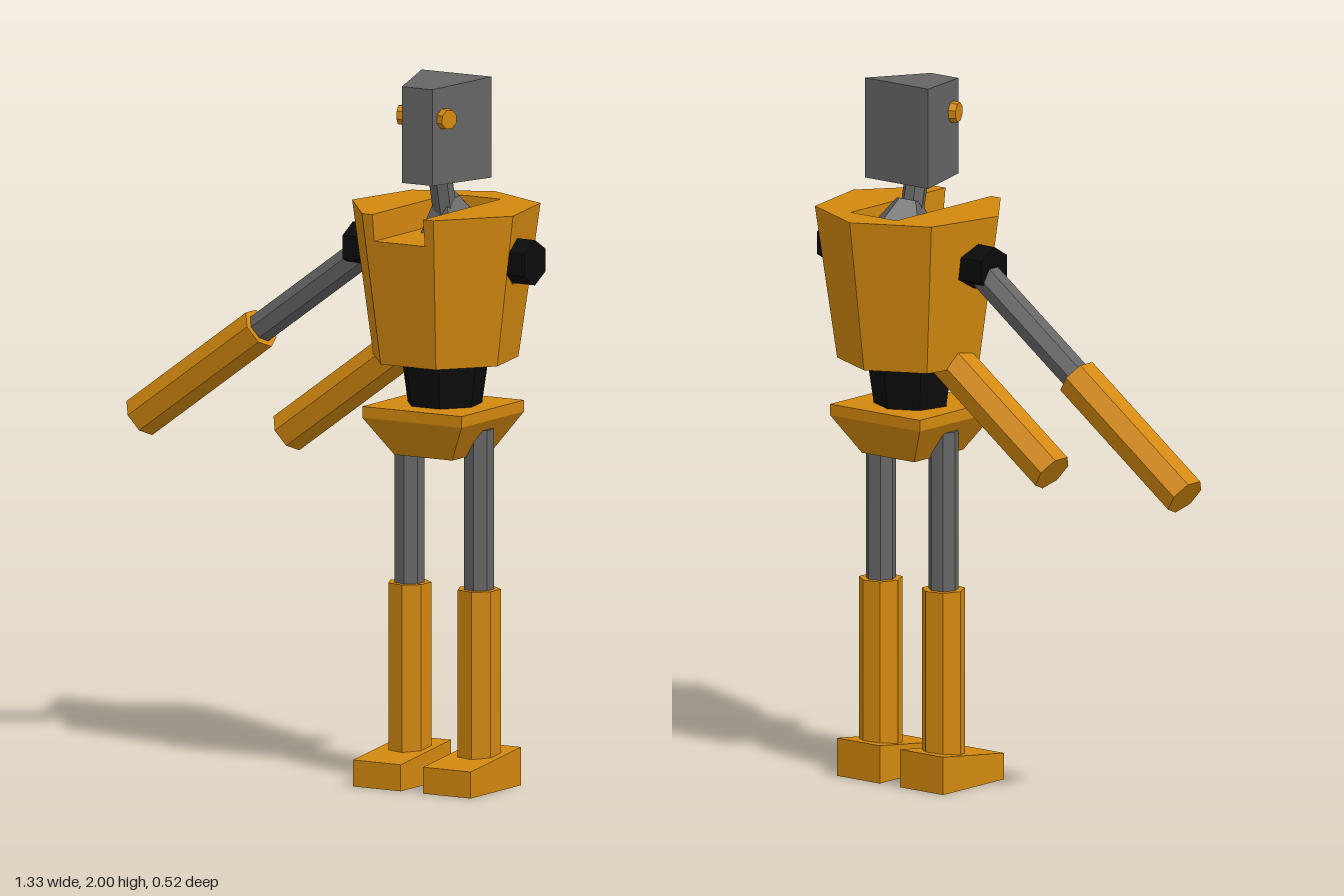
import * as THREE from 'three';

const CX = 0.366; // middle of the body
const material = (name, color) => {
  const m = new THREE.MeshStandardMaterial({ color });
  m.name = name;
  return m;
};

export function createModel() {
  const root = new THREE.Group();
  root.name = 'robot';
  const orange = material('orange armour', 0xd2880f);
  const grey = material('grey metal', 0x656565);
  const black = material('black joints', 0x0b0b0b);

  const add = (name, geo, mat) => {
    const flat = geo.index ? geo.toNonIndexed() : geo;
    flat.computeVertexNormals();
    const mesh = new THREE.Mesh(flat, mat);
    mesh.name = name;
    root.add(mesh);
    return mesh;
  };

  // Faceted bar from point a to point b
  const bar = (name, a, b, ra, rb, sides, mat) => {
    const p = new THREE.Vector3(...a), q = new THREE.Vector3(...b);
    const dir = q.clone().sub(p);
    const geo = new THREE.CylinderGeometry(rb, ra, dir.length(), sides);
    geo.rotateY(-Math.PI / 2);
    const mesh = add(name, geo, mat);
    mesh.quaternion.setFromUnitVectors(new THREE.Vector3(0, 1, 0), dir.normalize());
    mesh.position.copy(p).add(q).multiplyScalar(0.5);
    return mesh;
  };

  // Solid between two outlines of [x, y, z], listed clockwise from above
  const loft = (name, low, high, mat) => {
    const pos = [];
    const n = low.length;
    for (let i = 0; i < n; i++) {
      const j = (i + 1) % n;
      pos.push(...low[i], ...high[i], ...low[j], ...low[j], ...high[i], ...high[j]);
    }
    for (const [ring, up] of [[low, true], [high, false]].map(([r, l]) => [r, !l])) {
      const flat = ring.map(p => new THREE.Vector2(p[0], p[2]));
      for (const [i, j, k] of THREE.ShapeUtils.triangulateShape(flat, [])) {
        const [a, b, c] = [ring[i], ring[j], ring[k]];
        const ny = (b[2] - a[2]) * (c[0] - a[0]) - (b[0] - a[0]) * (c[2] - a[2]);
        if ((ny > 0) === up) pos.push(...a, ...b, ...c);
        else pos.push(...a, ...c, ...b);
      }
    }
    const geo = new THREE.BufferGeometry();
    geo.setAttribute('position', new THREE.Float32BufferAttribute(pos, 3));
    return add(name, geo, mat);
  };
  const rect = (x0, x1, z0, z1, y) => [[x0, y, z1], [x0, y, z0], [x1, y, z0], [x1, y, z1]];

  // Seven-sided outline pointing backwards, starting at the front
  const heptagon = (r, y) => [4, 5, 6, 0, 1, 2, 3].map(k => {
    const t = k * Math.PI * 2 / 7;
    return [CX + r * Math.sin(t), y, 0.011 - r * Math.cos(t)];
  });
  // Same outline with the neck slot cut in from the front
  const slotted = (r, y) => {
    const ring = heptagon(r, y);
    const front = ring[0][2], s = 0.083;
    return [[CX - s, y, front], ...ring, [CX + s, y, front],
      [CX + s, y, -0.155], [CX - s, y, -0.155]];
  };

  // Torso and waist
  loft('lowerTorso', heptagon(0.209, 1.205), heptagon(0.26, 1.56), orange);
  loft('collar', slotted(0.26, 1.56), slotted(0.271, 1.637), orange);
  loft('waist', heptagon(0.106, 1.07), heptagon(0.127, 1.215), black);

  // Pelvis: rim over an inverted frustum
  loft('pelvisRim', rect(CX - 0.163, CX + 0.163, -0.15, 0.18, 1.045),
    rect(CX - 0.163, CX + 0.163, -0.15, 0.18, 1.077), orange);
  loft('pelvis', rect(CX - 0.095, CX + 0.095, -0.093, 0.12, 0.938),
    rect(CX - 0.163, CX + 0.163, -0.15, 0.18, 1.045), orange);

  // Neck leaning forward out of a five-sided base
  const neckBase = new THREE.CylinderGeometry(0.036, 0.09, 0.085, 5);
  neckBase.rotateY(Math.PI);
  neckBase.scale(1, 1, 1.2);
  neckBase.rotateX(0.3);
  neckBase.translate(CX, 1.618, -0.015);
  add('neckBase', neckBase, grey);
  bar('neck', [CX, 1.6, 0.004], [CX, 1.74, 0.036], 0.034, 0.034, 7, grey);

  // Wedge head, wider at the back, with a sloping top
  const head = (y0, y1) => [[CX - 0.05, y0, 0.153], [CX - 0.115, y1, -0.056],
    [CX + 0.115, y1, -0.056], [CX + 0.05, y0, 0.153]];
  loft('head', head(1.715, 1.715), head(1.987, 2), grey);

  for (const s of [-1, 1]) {
    const side = s < 0 ? 'right' : 'left';

    // Eyes set on the slanted cheeks
    bar(side + 'Eye', [CX + s * 0.056, 1.9, 0.107], [CX + s * 0.083, 1.9, 0.116],
      0.032, 0.028, 8, orange);

    // Shoulder joint
    bar(side + 'Shoulder', [CX + s * 0.215, 1.5, 0.011], [CX + s * 0.299, 1.5, 0.011],
      0.064, 0.064, 6, black);

    // Both arms reach to the right; the left one starts inside the torso
    const ax = s < 0 ? 0 : 0.483;
    bar(side + 'UpperArm', [0.12 + ax, 1.495, 0.008], [-0.26 + ax, 1.219, 0.008],
      0.043, 0.043, 7, grey);
    bar(side + 'Forearm', [-0.238 + ax, 1.235, 0.008], [-0.63 + ax, 0.95, 0.008],
      0.061, 0.061, 7, orange);

    // Leg
    const lx = CX + s * 0.114;
    bar(side + 'Thigh', [lx, 0.5, 0.011], [lx, 1.015, 0.011], 0.043, 0.043, 7, grey);
    bar(side + 'Shin', [lx, 0.05, 0.011], [lx, 0.562, 0.011], 0.062, 0.062, 7, orange);

    // Foot with its top rising to the heel
    const fx = CX + s * 0.115, w = 0.078;
    const foot = rect(fx - w, fx + w, -0.085, 0.18, 0);
    loft(side + 'Foot', foot,
      foot.map(([x, , z]) => [x, z > 0 ? 0.075 : 0.108, z]), orange);
  }
  return root;
}
